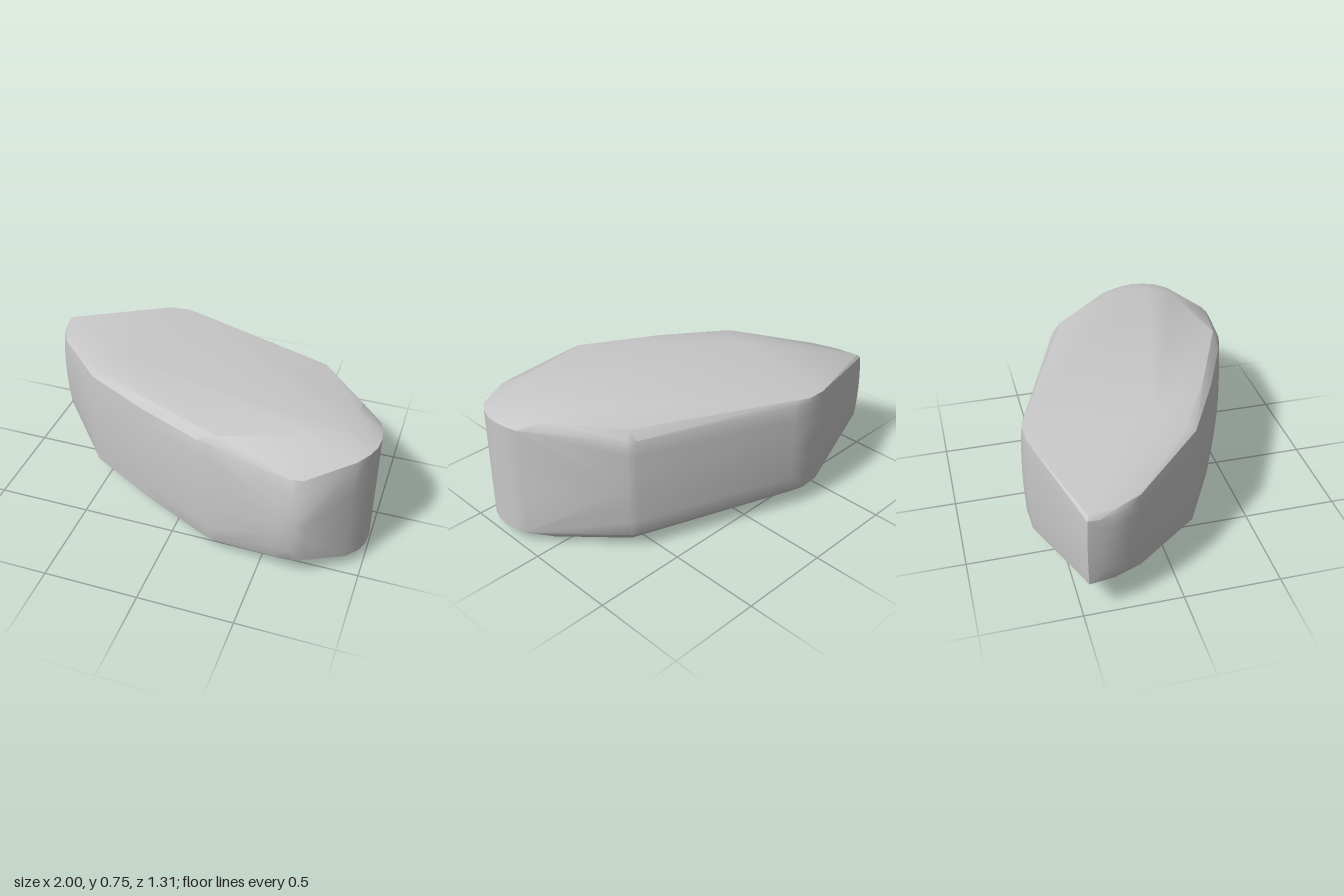
import * as THREE from 'three';
import { ConvexGeometry } from 'three/addons/geometries/ConvexGeometry.js';
import { toCreasedNormals } from 'three/addons/utils/BufferGeometryUtils.js';

// Outline of the stone, going round: x, z, rim half height, rim inset
const OUTLINE = [
  [-1, -0.47, 0.19, 0.01], [-0.43, -0.65, 0.25, 0.012], [-0.31, -0.658, 0.25, 0.015],
  [-0.22, -0.635, 0.26, 0.02], [0.6, -0.325, 0.28, 0.02], [0.64, -0.3, 0.28, 0.02],
  [0.97, 0.12, 0.31, 0], [0.99, 0.18, 0.313, 0], [1, 0.25, 0.315, 0],
  [0.994, 0.32, 0.314, 0], [0.97, 0.385, 0.313, 0], [0.92, 0.455, 0.305, 0],
  [0.74, 0.64, 0.26, 0.045], [0.68, 0.654, 0.26, 0.05], [0.6, 0.65, 0.26, 0.05],
  [0.25, 0.58, 0.31, 0.03], [0.15, 0.545, 0.3, 0.03], [-0.2, 0.385, 0.29, 0.03],
  [-0.57, 0.18, 0.28, 0.02], [-0.91, -0.2, 0.185, 0.012], [-0.95, -0.265, 0.182, 0.01],
  [-0.98, -0.34, 0.18, 0.01], [-0.995, -0.41, 0.185, 0.01],
];

// Edge of the broad flat face: x, half height, z
const FACE = [
  [-0.97, 0.207, -0.455], [-0.42, 0.275, -0.64], [-0.31, 0.28, -0.642], [-0.25, 0.285, -0.62],
  [0.6, 0.328, -0.27], [0.86, 0.35, 0.04], [0.86, 0.368, 0.15], [0.8, 0.377, 0.3],
  [0.7, 0.375, 0.42], [0.25, 0.35, 0.53], [-0.18, 0.328, 0.335], [-0.55, 0.3, 0.13],
  [-0.45, 0.318, 0], [-0.89, 0.215, -0.19], [-0.955, 0.205, -0.33],
];

const MIDDLE = 0.38;

export function createModel() {
  const group = new THREE.Group();
  const stone = new THREE.MeshStandardMaterial({ color: 0xc8c8c8 });
  stone.name = 'stone grey';

  // Gently bulging sides and a bevelled face, mirrored above and below the middle
  const points = [];
  for (const side of [-1, 1]) {
    for (const [x, z, h, inset] of OUTLINE) {
      for (const t of [0, 0.35, 0.7, 1]) {
        const s = 1 - inset * t * t;
        points.push(new THREE.Vector3(x * s, MIDDLE + side * h * t, z * s));
      }
    }
    for (const [x, h, z] of FACE) points.push(new THREE.Vector3(x, MIDDLE + side * h, z));
  }

  const hull = new ConvexGeometry(points);
  const rock = new THREE.Mesh(toCreasedNormals(hull, 0.62), stone);
  rock.name = 'rock';
  group.add(rock);
  return group;
}
